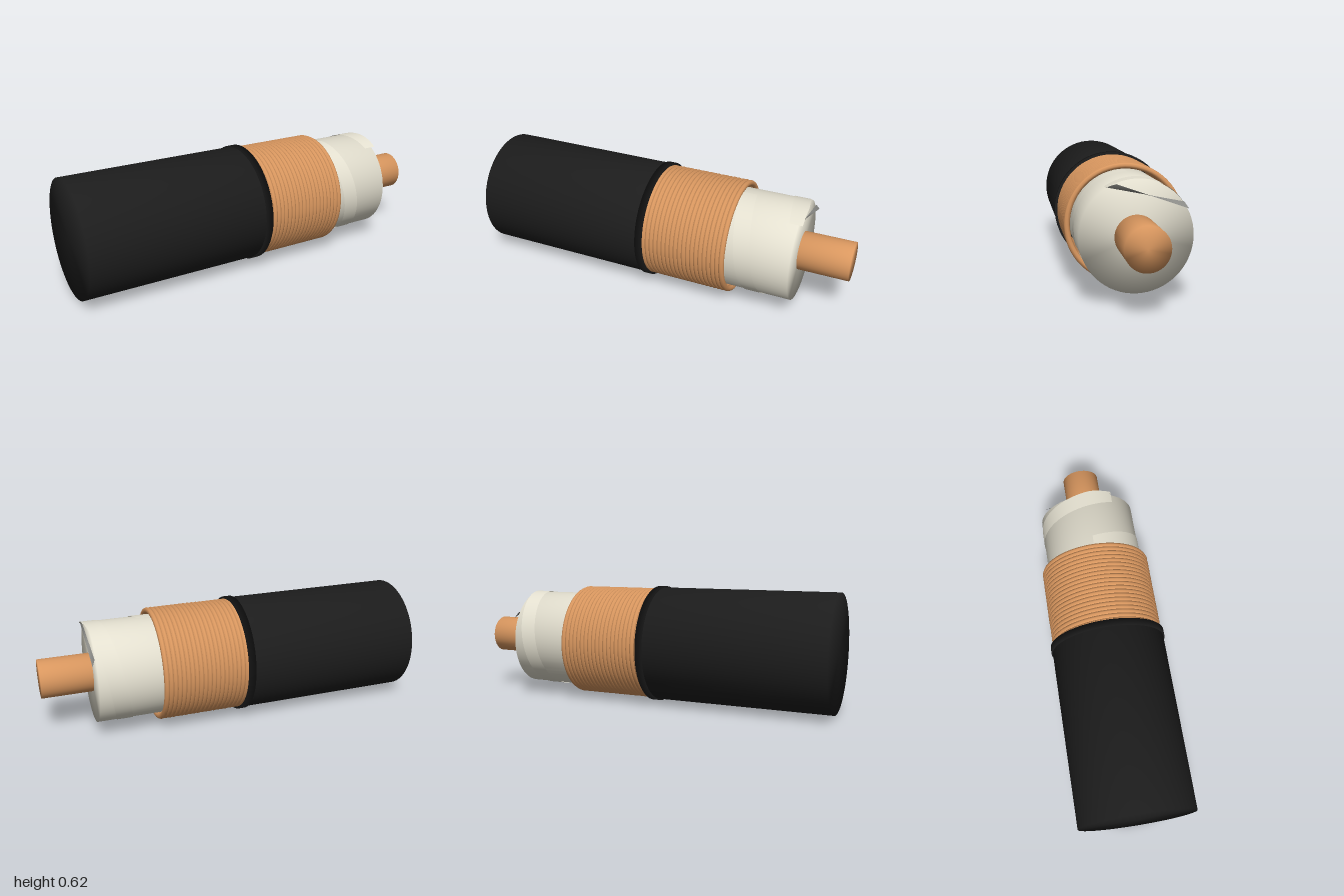
import * as THREE from 'three';
import { ParametricGeometry } from 'three/addons/geometries/ParametricGeometry.js';

const material = (color, side = THREE.FrontSide) =>
  new THREE.MeshStandardMaterial({ color, side });

export function createModel() {
  const model = new THREE.Group();
  model.name = 'strippedCable';

  const black = material(0x1c1c1c);
  const copper = material(0xd9975f);
  const copperSheet = material(0xd9975f, THREE.DoubleSide);
  const cream = material(0xe4e0d0);
  const tapeMaterial = material(0xe4e0d0, THREE.DoubleSide);
  const flapMaterial = material(0x8c8c88, THREE.DoubleSide);

  // The cable runs along local x, turned slightly about the vertical.
  const cable = new THREE.Group();
  cable.name = 'cable';
  cable.position.set(0, 0.31, 0.011);
  cable.rotation.y = -0.034;
  model.add(cable);

  const add = (name, geometry, mat, parent = cable) => {
    const mesh = new THREE.Mesh(geometry, mat);
    mesh.name = name;
    parent.add(mesh);
    return mesh;
  };

  // Closed round bar from x0 to x1, smooth over its rims.
  const bar = (name, radius, x0, x1, mat) => {
    const profile = [[0, x0], [radius, x0], [radius, x1], [0, x1]]
      .map(([r, x]) => new THREE.Vector2(r, x));
    const geometry = new THREE.LatheGeometry(profile, 64);
    geometry.rotateZ(-Math.PI / 2);
    add(name, geometry, mat);
  };

  bar('outerJacket', 0.303, -0.99, -0.03, black);
  bar('jacketLip', 0.31, -0.06, -0.024, black);
  bar('insulation', 0.26, -0.03, 0.737, cream);
  bar('conductor', 0.1, 0.7, 0.997, copper);

  // Shield: an open sleeve covered by closely stacked wire rings.
  const shield = new THREE.Group();
  shield.name = 'wireShield';
  cable.add(shield);
  const sleeve = new THREE.CylinderGeometry(0.276, 0.276, 0.44, 64, 1, true);
  sleeve.rotateZ(Math.PI / 2);
  add('shieldSleeve', sleeve, copperSheet, shield).position.x = 0.19;
  const ring = new THREE.TorusGeometry(0.283, 0.015, 8, 64);
  ring.rotateY(Math.PI / 2);
  const ringCount = 20;
  for (let i = 0; i < ringCount; i++) {
    add('shieldWire', ring, copper, shield).position.x = -0.02 + i * 0.0224;
  }

  // Thin tape wound helically round the insulation.
  const start = 0;
  const end = 2 * Math.PI + 0.56;
  const tape = new ParametricGeometry((u, v, target) => {
    const angle = start + u * (end - start);
    const left = 0.465 + 0.27 * (angle - Math.PI / 2) / (2 * Math.PI);
    const x = Math.min(left + v * 0.085, 0.757);
    target.set(x, 0.263 * Math.cos(angle), 0.263 * Math.sin(angle));
  }, 96, 2);
  add('spiralTape', tape, tapeMaterial);

  // Loose, twisted tape end crossing the insulation face.
  const a = new THREE.Vector3(0.742, 0.225, 0.14);
  const b = new THREE.Vector3(0.757, 0.24, 0.095);
  const c = new THREE.Vector3(0.757, 0.125, -0.232);
  const d = new THREE.Vector3(0.742, 0.155, -0.213);
  const p = new THREE.Vector3();
  const flap = new ParametricGeometry((u, v, target) => {
    target.lerpVectors(a, d, u);
    p.lerpVectors(b, c, u);
    target.lerp(p, v);
  }, 12, 1);
  add('tapeEnd', flap, flapMaterial);

  return model;
}
